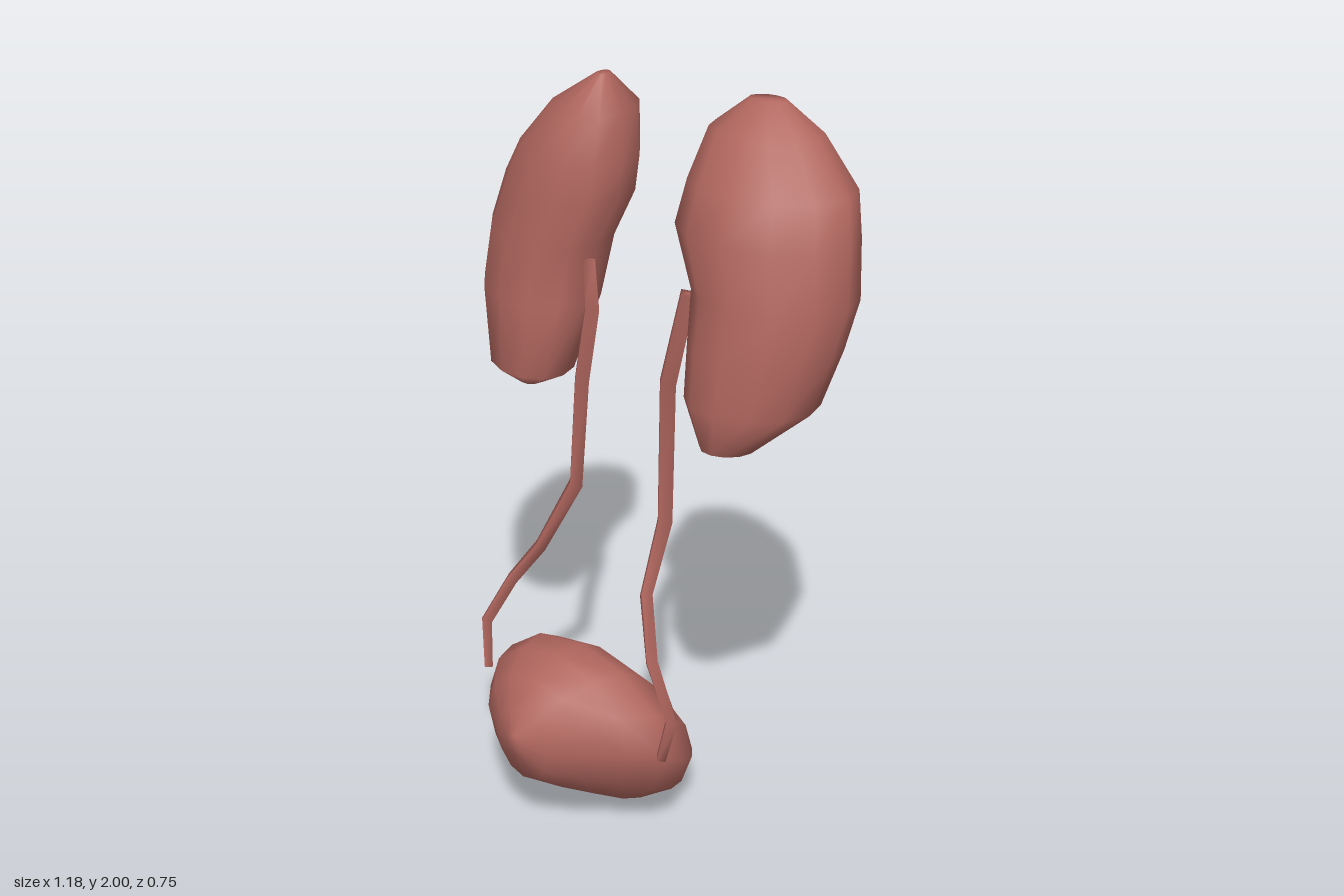
import * as THREE from 'three';

const SIDES = 12;
const tissue = new THREE.MeshStandardMaterial({ color: 0xb0665e, side: THREE.DoubleSide });

// Closed smooth skin over a list of rings (arrays of [x, y, z])
function loft(rings) {
  const n = rings[0].length, pos = [], idx = [];
  rings.forEach(r => r.forEach(p => pos.push(...p)));
  const centre = r => [0, 1, 2].map(k => r.reduce((s, p) => s + p[k], 0) / n);
  const first = rings.length * n, last = first + 1, top = (rings.length - 1) * n;
  pos.push(...centre(rings[0]), ...centre(rings[rings.length - 1]));
  for (let j = 0; j < n; j++) {
    const k = (j + 1) % n;
    idx.push(first, j, k, last, top + k, top + j);
    for (let a = 0; a < top; a += n) {
      idx.push(a + j, a + n + j, a + k, a + k, a + n + j, a + n + k);
    }
  }
  const g = new THREE.BufferGeometry();
  g.setAttribute('position', new THREE.Float32BufferAttribute(pos, 3));
  g.setIndex(idx);
  g.computeVertexNormals();
  return g;
}

// Oval between given bounds; skew leans it diagonally without changing the bounds
function oval(u0, u1, v0, v1, skew, place) {
  return Array.from({ length: SIDES }, (_, j) => {
    const t = j / SIDES * Math.PI * 2;
    return place(
      (u0 + u1) / 2 + (u1 - u0) / 2 * Math.cos(t),
      (v0 + v1) / 2 + (v1 - v0) / 2 * Math.sin(t + skew));
  });
}

function addMesh(group, name, geometry) {
  const m = new THREE.Mesh(geometry, tissue);
  m.name = name;
  group.add(m);
}

// Kidney rows: height, x from/to, z from/to
const leftKidney = [
  [1.172, 0.30, 0.43, -0.08, 0.05], [1.28, 0.215, 0.54, -0.24, 0.06],
  [1.42, 0.20, 0.565, -0.305, 0.045], [1.55, 0.185, 0.588, -0.335, 0.02],
  [1.70, 0.105, 0.568, -0.36, 0.0], [1.81, 0.115, 0.535, -0.377, -0.04],
  [1.93, 0.13, 0.42, -0.35, -0.13], [2.0, 0.21, 0.31, -0.295, -0.225],
];
const rightKidney = [
  [1.135, -0.40, -0.32, -0.10, 0.0], [1.185, -0.51, -0.23, -0.17, 0.065],
  [1.38, -0.592, -0.20, -0.285, 0.045], [1.54, -0.592, -0.19, -0.335, 0.02],
  [1.67, -0.56, -0.135, -0.36, 0.0], [1.76, -0.52, -0.14, -0.377, -0.02],
  [1.89, -0.40, -0.15, -0.34, -0.06], [1.98, -0.255, -0.22, -0.22, -0.165],
];
const kidney = (rows, skew) => loft(rows.map(([y, x0, x1, z0, z1]) =>
  oval(x0, x1, z0, z1, skew, (x, z) => [x, y, z])));

// Bladder rows from front to back: z, x from/to, y from/to
const bladder = [
  [0.376, -0.045, -0.005, 0.27, 0.33], [0.34, -0.125, 0.065, 0.18, 0.39],
  [0.28, -0.225, 0.15, 0.135, 0.455], [0.20, -0.30, 0.235, 0.09, 0.495],
  [0.12, -0.337, 0.29, 0.045, 0.505], [0.05, -0.335, 0.29, 0.015, 0.465],
  [-0.03, -0.29, 0.25, 0.003, 0.385], [-0.12, -0.19, 0.17, 0.02, 0.27],
  [-0.175, -0.07, 0.07, 0.07, 0.15],
];

// Ureter: jointed four-sided tube from the bladder end upwards, x y z radius per joint
function ureter(joints) {
  const at = joints.map(([x, y, z]) => new THREE.Vector3(x, y, z));
  return loft(joints.map(([, , , r], i) => {
    const along = at[Math.min(i + 1, at.length - 1)].clone().sub(at[Math.max(i - 1, 0)]).normalize();
    const u = new THREE.Vector3(1, 0, 0).addScaledVector(along, -along.x).normalize();
    const w = u.clone().cross(along);
    return Array.from({ length: 4 }, (_, j) => {
      const t = j / 4 * Math.PI * 2;
      return at[i].clone().addScaledVector(u, r * Math.cos(t)).addScaledVector(w, r * Math.sin(t)).toArray();
    });
  }));
}

export function createModel() {
  const model = new THREE.Group();
  model.name = 'urinarySystem';

  addMesh(model, 'leftKidney', kidney(leftKidney, -0.2));
  addMesh(model, 'rightKidney', kidney(rightKidney, 0.2));

  addMesh(model, 'bladder', loft(bladder.map(([z, x0, x1, y0, y1]) =>
    oval(x0, x1, y0, y1, 0, (x, y) => [x, y, z]))));

  addMesh(model, 'leftUreter', ureter([
    [0.305, 0.30, 0.155, 0.016], [0.34, 0.43, 0.155, 0.02], [0.265, 0.575, 0.15, 0.02],
    [0.16, 0.70, 0.06, 0.02], [0.115, 0.86, -0.06, 0.026], [0.12, 1.26, -0.06, 0.028],
    [0.16, 1.51, -0.09, 0.026],
  ]));
  addMesh(model, 'rightUreter', ureter([
    [-0.355, 0.31, 0.155, 0.016], [-0.395, 0.43, 0.12, 0.02], [-0.36, 0.55, 0.05, 0.02],
    [-0.295, 0.66, 0.0, 0.02], [-0.185, 0.88, -0.03, 0.024], [-0.18, 1.18, -0.05, 0.026],
    [-0.17, 1.38, -0.08, 0.026], [-0.19, 1.51, -0.09, 0.022],
  ]));
  return model;
}
